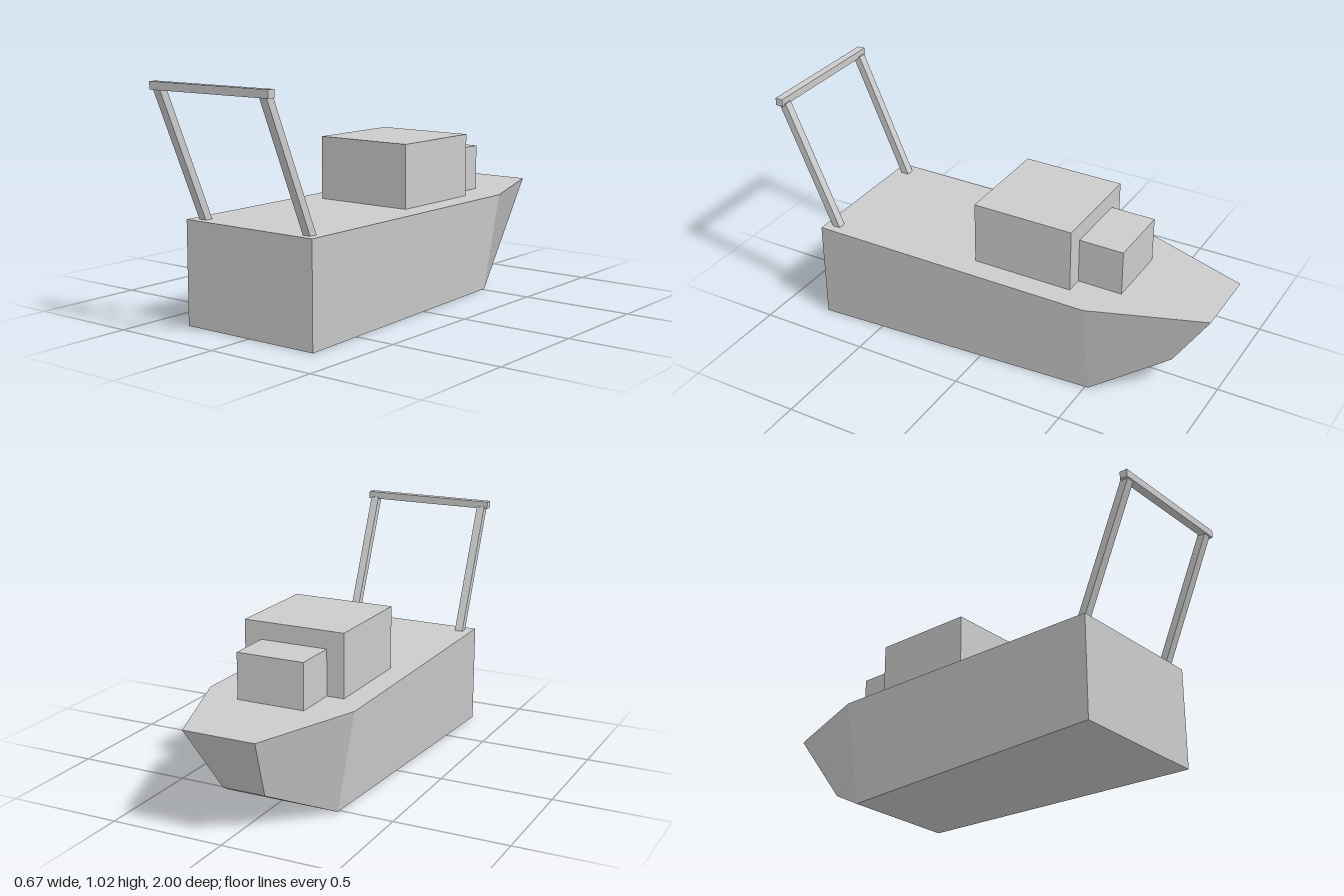
import * as THREE from 'three';

const material = new THREE.MeshStandardMaterial({ color: 0xcccccc });
const DECK = 0.447;

function add(parent, name, geometry) {
  const mesh = new THREE.Mesh(geometry, material);
  mesh.name = name;
  parent.add(mesh);
  return mesh;
}

// Box given by its lower and upper corners
function box(parent, name, [x0, y0, z0], [x1, y1, z1]) {
  const g = new THREE.BoxGeometry(x1 - x0, y1 - y0, z1 - z0);
  g.translate((x0 + x1) / 2, (y0 + y1) / 2, (z0 + z1) / 2);
  return add(parent, name, g);
}

// Flat-shaded quads, each split along its second-to-fourth corner
function quadGeometry(quads) {
  const positions = [], normals = [], index = [];
  quads.forEach((q, i) => {
    const [a, b, c, d] = q.map((p) => new THREE.Vector3(...p));
    const n = c.clone().sub(a).cross(d.clone().sub(b)).normalize();
    for (const p of q) {
      positions.push(...p);
      normals.push(n.x, n.y, n.z);
    }
    const k = i * 4;
    index.push(k, k + 1, k + 3, k + 1, k + 2, k + 3);
  });
  const g = new THREE.BufferGeometry();
  g.setAttribute('position', new THREE.Float32BufferAttribute(positions, 3));
  g.setAttribute('normal', new THREE.Float32BufferAttribute(normals, 3));
  g.setIndex(index);
  return g;
}

// Hull lofted through three stations: square end, knuckle, raked bow
function hullGeometry() {
  const stations = [
    { top: [0.335, DECK, 0.79], low: [0.335, 0, 0.79] },
    { top: [0.335, DECK, -0.515], low: [0.26, 0, -0.515] },
    { top: [0.16, DECK, -1], low: [0.095, 0.155, -0.82] },
  ];
  const flip = ([x, y, z]) => [-x, y, z];
  const quads = [];
  for (let i = 0; i < 2; i++) {
    const s = stations[i], t = stations[i + 1];
    const side = [s.top, s.low, t.low, t.top];
    quads.push(side);
    // mirrored side keeps the same split with the order reversed
    quads.push([side[0], side[3], side[2], side[1]].map(flip));
    quads.push([s.top, t.top, flip(t.top), flip(s.top)]);
    quads.push([s.low, flip(s.low), flip(t.low), t.low]);
  }
  const [first, , last] = stations;
  quads.push([first.top, flip(first.top), flip(first.low), first.low]);
  quads.push([last.top, last.low, flip(last.low), flip(last.top)]);
  return quadGeometry(quads);
}

// Post leaning outward over the square end
function postGeometry(x) {
  const bottom = 0.44, top = 1.0, lean = 0.435;
  const g = new THREE.BoxGeometry(0.037, top - bottom, 0.037);
  g.translate(0, (top - bottom) / 2, 0);
  const p = g.attributes.position;
  for (let i = 0; i < p.count; i++) p.setZ(i, p.getZ(i) + p.getY(i) * lean);
  g.translate(x, bottom, 0.734);
  const flat = g.toNonIndexed();
  flat.computeVertexNormals();
  return flat;
}

export function createModel() {
  const model = new THREE.Group();
  model.name = 'boat';

  add(model, 'hull', hullGeometry());

  // Deckhouse
  box(model, 'cabin', [-0.23, DECK, -0.4], [0.23, 0.725, 0.055]);
  box(model, 'foreCabin', [-0.152, DECK, -0.6], [0.152, 0.648, -0.4]);

  // Lifting frame
  const frame = new THREE.Group();
  frame.name = 'liftingFrame';
  model.add(frame);
  add(frame, 'leftPost', postGeometry(0.278));
  add(frame, 'rightPost', postGeometry(-0.278));
  box(frame, 'crossbar', [-0.31, 0.992, 0.965], [0.31, 1.025, 1]);

  return model;
}
